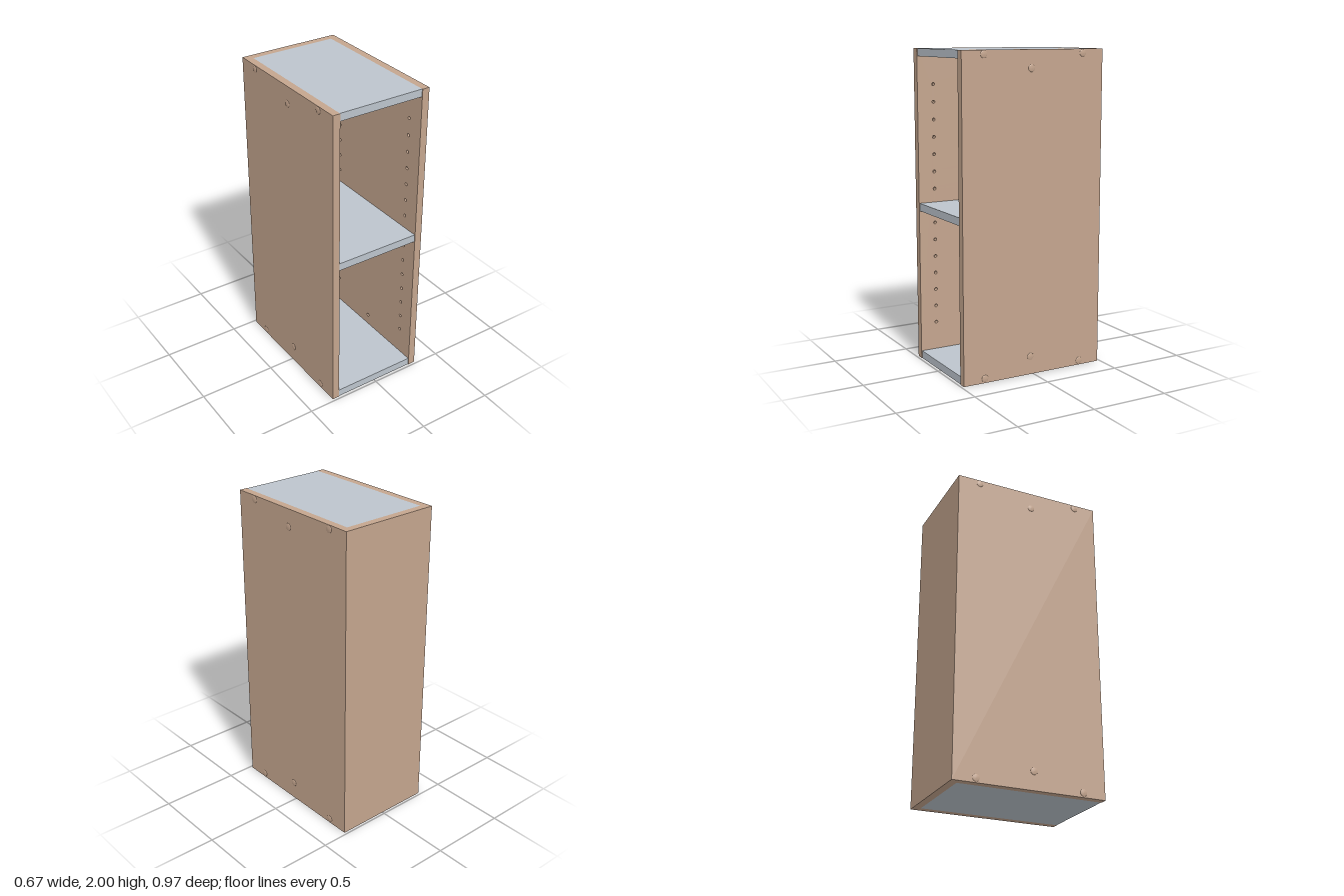
import * as THREE from 'three';

export function createModel() {
  const group = new THREE.Group();
  const wood = new THREE.MeshStandardMaterial({ color: 0xc4a58e });
  wood.name = 'tan wood';
  const grey = new THREE.MeshStandardMaterial({ color: 0xbcc4cc });
  grey.name = 'pale grey board';

  const add = (name, geometry, material, x, y, z) => {
    const mesh = new THREE.Mesh(geometry, material);
    mesh.name = name;
    mesh.position.set(x, y, z);
    group.add(mesh);
    return mesh;
  };

  const H = 2, front = 0.484, back = -0.484, inner = 0.28, outer = 0.328;
  const skin = 0.03; // depth of the drilled holes
  const backInner = -0.436;

  // Inner layer of a side wall, drilled for shelf pegs and fixing screws
  const drilled = new THREE.Shape();
  drilled.moveTo(-front, 0);
  drilled.lineTo(-back, 0);
  drilled.lineTo(-back, H);
  drilled.lineTo(-front, H);
  drilled.closePath();
  const drill = (z, y, r) => {
    const hole = new THREE.Path();
    hole.absarc(-z, y, r, 0, Math.PI * 2, true);
    drilled.holes.push(hole);
  };
  for (let i = 0; i < 15; i++) {
    for (const z of [0.375, -0.33]) drill(z, 0.23 + i * 0.1105, 0.01);
  }
  for (const y of [0.12, 1.89]) drill(0.02, y, 0.012);
  const drilledGeo = new THREE.ExtrudeGeometry(drilled, { depth: skin, bevelEnabled: false, curveSegments: 8 });
  drilledGeo.rotateY(Math.PI / 2); // shape x becomes -z, depth becomes +x

  // Low dome screw cap, pointing along +x
  const capGeo = new THREE.LatheGeometry([
    [0.022, 0], [0.021, 0.002], [0.016, 0.004], [0, 0.005],
  ].map(([r, h]) => new THREE.Vector2(r, h)), 20);
  capGeo.rotateZ(-Math.PI / 2);
  const caps = [[0.34, 0.028], [-0.34, 0.028], [0.02, 0.115], [0.34, 1.975], [-0.34, 1.975], [0.02, 1.89]];

  for (const [side, s] of [['left', 1], ['right', -1]]) {
    const shell = outer - inner - skin;
    add(side + 'WallInner', drilledGeo, wood, s > 0 ? inner : -inner - skin, 0, 0);
    add(side + 'WallOuter', new THREE.BoxGeometry(shell, H, front - back), wood, s * (outer - shell / 2), H / 2, 0);
    for (const [z, y] of caps) {
      const cap = add(side + 'ScrewCap', capGeo, wood, s * outer, y, z);
      if (s < 0) cap.rotation.y = Math.PI;
    }
  }

  // Back wall with a thin grey lining facing the compartments
  add('backWall', new THREE.BoxGeometry(inner * 2, H, backInner - back), wood, 0, H / 2, (back + backInner) / 2);
  add('backLining', new THREE.BoxGeometry(inner * 2, H - 0.04, 0.004), grey, 0, H / 2, backInner + 0.002);

  // Bottom, middle and top boards
  const depth = 0.48 - backInner;
  for (const [name, y0, y1] of [['bottomBoard', 0, 0.049], ['middleShelf', 0.978, 1.027], ['topBoard', 1.952, 2]]) {
    add(name, new THREE.BoxGeometry(inner * 2, y1 - y0, depth), grey, 0, (y0 + y1) / 2, backInner + depth / 2);
  }
  return group;
}
